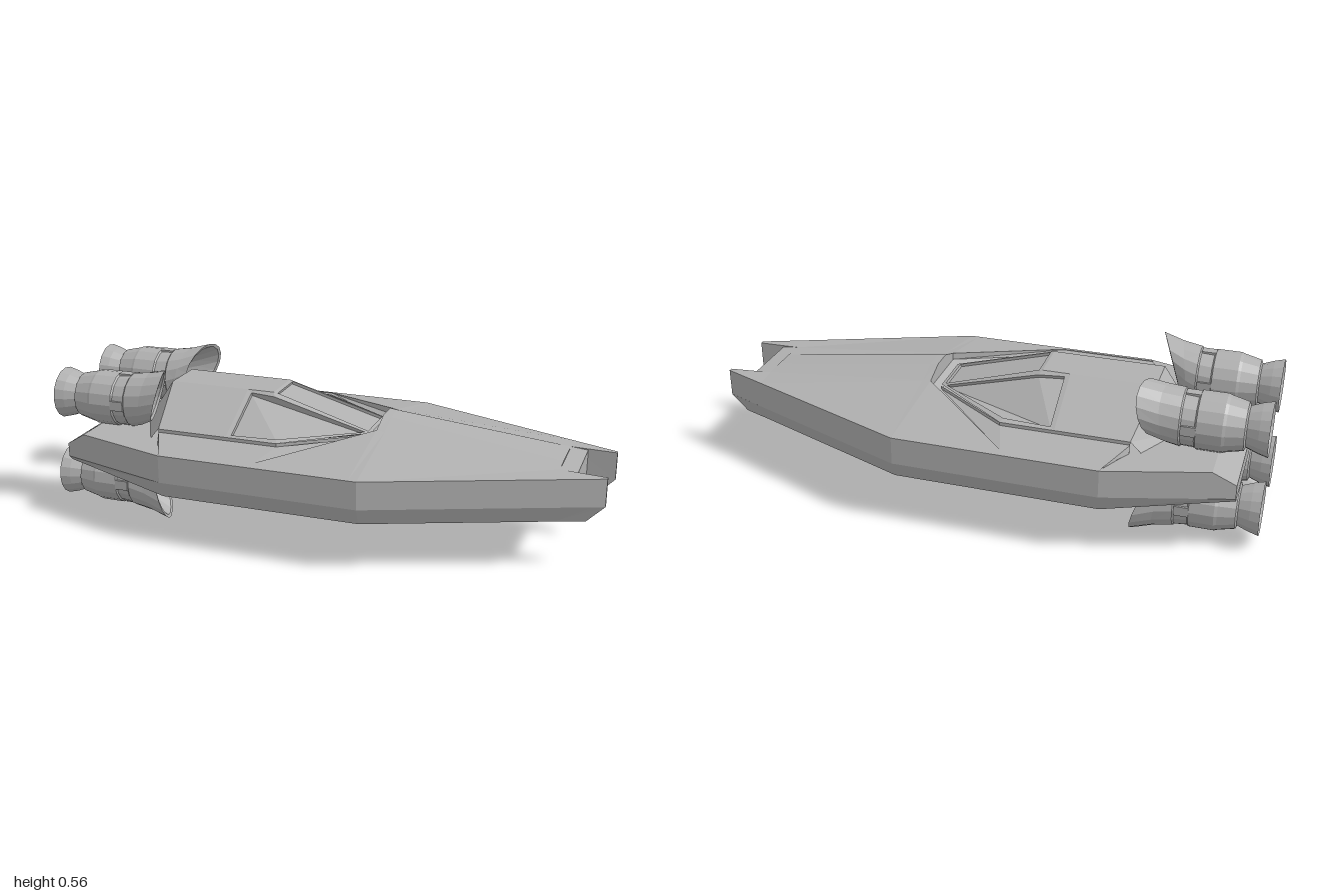
import * as THREE from 'three';

const hullGrey = new THREE.MeshStandardMaterial({ color: 0xb0b0b0, side: THREE.DoubleSide });
hullGrey.name = 'hull grey';

// Flat-faced mesh from a list of polygons (each a list of [x, y, z])
function facesMesh(name, polygons) {
  const pos = [];
  for (const p of polygons)
    for (let i = 1; i < p.length - 1; i++) pos.push(...p[0], ...p[i], ...p[i + 1]);
  const g = new THREE.BufferGeometry();
  g.setAttribute('position', new THREE.Float32BufferAttribute(pos, 3));
  g.computeVertexNormals();
  const m = new THREE.Mesh(g, hullGrey);
  m.name = name;
  return m;
}

// Skin closed cross-sections with quads
function loft(sections) {
  const out = [];
  for (let s = 0; s < sections.length - 1; s++) {
    const a = sections[s], b = sections[s + 1], n = a.length;
    for (let i = 0; i < n; i++) {
      const j = (i + 1) % n;
      out.push([a[i], a[j], b[j], b[i]]);
    }
  }
  return out;
}

// Add the port/starboard twin of every polygon
const twin = polys => polys.concat(polys.map(p => p.map(([x, y, z]) => [x, y, -z]).reverse()));

// Framed window: rim, short walls and a sunken pane; inward is the sinking direction
function pane(pts, rim, inward) {
  const c = [0, 1, 2].map(k => pts.reduce((s, p) => s + p[k], 0) / pts.length);
  const inner = pts.map(p => {
    const d = Math.hypot(p[0] - c[0], p[1] - c[1], p[2] - c[2]);
    return p.map((v, k) => v + (c[k] - v) * rim / d);
  });
  const sunk = inner.map(p => p.map((v, k) => v + inward[k]));
  return [...loft([pts, inner, sunk]), sunk];
}

function buildHull() {
  // x, outer z, bottom z, bottom y, edge y, mid z, mid y, ridge z, ridge y
  const stations = [
    [-0.92, 0.31, 0.29, 0.22, 0.29, 0.2, 0.29, 0.075, 0.29],
    [-0.84, 0.333, 0.31, 0.212, 0.34, 0.2, 0.34, 0.075, 0.335],
    [-0.49, 0.435, 0.41, 0.18, 0.34, 0.12, 0.34, 0.04, 0.34],
    [0.2, 0.435, 0.41, 0.18, 0.34, 0.12, 0.34, 0.04, 0.34],
    [0.2, 0.435, 0.41, 0.18, 0.34, 0.12, 0.41, 0.04, 0.44],
    [0.23, 0.435, 0.41, 0.18, 0.34, 0.12, 0.407, 0.04, 0.436],
    [0.84, 0.197, 0.172, 0.18, 0.34, 0.115, 0.346, 0.04, 0.349],
  ];
  const sections = stations.map(([x, zo, zb, yb, ye, zm, ym, zr, yr]) => {
    const half = [[x, yb, zb], [x, 0.24, zo], [x, ye, zo], [x, ym, zm], [x, yr, zr]];
    return [...half, ...half.map(([a, b, c]) => [a, b, -c]).reverse()];
  });
  return facesMesh('hull', [...loft(sections), sections[0]]);
}

function buildDeckEdge() {
  // Sloping deck beside the cabin well, with the well's wall
  const rim = [[0.2, 0.41, 0.12], [-0.15, 0.346, 0.41], [-0.5, 0.346, 0.41], [-0.56, 0.342, 0.29]];
  const edge = [[0.2, 0.34, 0.435], [-0.15, 0.34, 0.435], [-0.49, 0.34, 0.435]];
  const polys = [[edge[0], rim[0], rim[1], edge[1]], [edge[1], rim[1], rim[2], edge[2]]];
  for (let i = 0; i < 3; i++) {
    const a = rim[i], b = rim[i + 1];
    polys.push([a, b, [b[0], 0.335, b[2]], [a[0], 0.335, a[2]]]);
  }
  return facesMesh('deckEdge', twin(polys));
}

function buildNose() {
  // Blunt centre with an undercut
  const g = new THREE.Group();
  g.name = 'nose';
  const side = z => [[0.84, 0.18, z], [0.9, 0.24, z], [0.9, 0.34, z], [0.84, 0.346, z]];
  g.add(facesMesh('noseCentre', loft([side(-0.115), side(0.115)])));
  // Two pointed prongs
  const outer = [[0.84, 0.18, 0.172], [0.94, 0.18, 0.135], [1, 0.24, 0.135], [1, 0.34, 0.135], [0.84, 0.34, 0.197]];
  const low = [[0.84, 0.24, 0.197], [0.96, 0.24, 0.15]];
  const inner = [[0.84, 0.18, 0.115], [0.94, 0.18, 0.118], [1, 0.24, 0.121], [1, 0.34, 0.121], [0.84, 0.346, 0.115]];
  const polys = [
    [low[0], low[1], outer[2], outer[3], outer[4]], [outer[0], outer[1], outer[2], low[1], low[0]], inner,
  ];
  for (let i = 0; i < 4; i++) polys.push([outer[i], outer[i + 1], inner[i + 1], inner[i]]);
  g.add(facesMesh('prongs', twin(polys)));
  return g;
}

function buildUpperCabin() {
  const g = new THREE.Group();
  g.name = 'upperCabin';
  const roof = [[-0.6, 0.493, 0.08], [-0.3, 0.493, 0.08], [-0.2, 0.493, 0.08], [0.17, 0.385, 0.088]];
  const sill = [[-0.56, 0.38, 0.288], [-0.3, 0.38, 0.288], [-0.11, 0.38, 0.288], [0.17, 0.38, 0.092]];
  const foot = [[-0.56, 0.342, 0.3], [-0.5, 0.344, 0.41], [-0.15, 0.344, 0.41], [0.2, 0.385, 0.12]];
  const base = sill.map(([x, y, z]) => [x, y - 0.012, z]);
  const flip = p => [p[0], p[1], -p[2]];
  // Roof, rear slope, sides and shoulder
  g.add(facesMesh('cabinBody', [
    [roof[0], roof[2], flip(roof[2]), flip(roof[0])],
    [roof[0], [-0.71, 0.335, 0.075], [-0.71, 0.335, -0.075], flip(roof[0])],
    [base[3], foot[3], flip(foot[3]), flip(base[3])],
    ...twin([
      [roof[0], roof[1], sill[1], sill[0]],
      [roof[0], sill[0], [-0.6, 0.335, 0.28], [-0.71, 0.335, 0.075]],
      [sill[0], sill[2], base[2], base[0]], [sill[2], sill[3], base[3], base[2]],
      [base[0], foot[0], foot[1]], [base[0], foot[1], foot[2], base[2]], [base[2], foot[2], foot[3], base[3]],
    ]),
  ]));
  // Windscreen and side windows
  g.add(facesMesh('windscreen', pane([roof[2], roof[3], flip(roof[3]), flip(roof[2])], 0.015, [-0.003, -0.01, 0])));
  g.add(facesMesh('sideWindows', twin(pane([roof[1], roof[2], roof[3], sill[2], sill[1]], 0.022, [0, -0.012, -0.005]))));
  return g;
}

function buildLowerCabin() {
  const g = new THREE.Group();
  g.name = 'lowerCabin';
  const keel = [[-0.6, 0.08, 0.08], [-0.2, 0.08, 0.08], [0.03, 0.08, 0.08], [0.17, 0.182, 0.09]];
  const bilge = [[-0.58, 0.1, 0.2], [-0.2, 0.1, 0.2], [-0.05, 0.1, 0.2]];
  const top = [[-0.58, 0.182, 0.28], [-0.2, 0.182, 0.28], [-0.1, 0.182, 0.28]];
  const flip = p => [p[0], p[1], -p[2]];
  const rear = [-0.7, 0.2, 0.08];
  g.add(facesMesh('lowerBody', [
    [keel[0], keel[2], flip(keel[2]), flip(keel[0])],
    [keel[0], rear, flip(rear), flip(keel[0])],
    ...twin([
      [keel[0], keel[1], bilge[1], bilge[0]], [keel[1], keel[2], bilge[2], bilge[1]],
      [bilge[0], bilge[1], top[1], top[0]], [keel[0], bilge[0], top[0], rear],
    ]),
  ]));
  // Sunken belly windows
  g.add(facesMesh('frontBellyWindow', pane([keel[2], keel[3], flip(keel[3]), flip(keel[2])], 0.018, [-0.008, 0.01, 0])));
  g.add(facesMesh('sideBellyWindows', twin([
    ...pane([keel[2], keel[3], top[2], bilge[2]], 0.02, [-0.008, 0.01, -0.008]),
    ...pane([bilge[1], bilge[2], top[2], top[1]], 0.015, [0, 0.008, -0.01]),
  ])));
  return g;
}

function buildEngine() {
  const g = new THREE.Group();
  const sides = 16;
  // x, radius, sideways drift, slant of the cut
  const ring = ([x, r, drift = 0, slant = 0]) => Array.from({ length: sides }, (_, i) => {
    const a = (i / sides) * Math.PI * 2, s = Math.sin(a), c = Math.cos(a);
    return [x + slant * (s + c) * 0.7, 0.435 + drift + r * s, 0.165 + drift * 0.7 + r * c];
  });
  // Thruster bell with its throat
  g.add(facesMesh('thrusterBell', loft([
    [-0.93, 0], [-0.94, 0.055], [-0.995, 0.086], [-1, 0.094], [-0.965, 0.085], [-0.925, 0.07],
  ].map(ring))));
  // Casing curving outward to a slanted, hollow intake
  g.add(facesMesh('engineCasing', loft([
    [-0.925, 0.07], [-0.92, 0.082], [-0.86, 0.096], [-0.85, 0.1], [-0.765, 0.1], [-0.76, 0.095],
    [-0.715, 0.095, 0.003], [-0.71, 0.1, 0.003], [-0.66, 0.098, 0.014, 0.02], [-0.605, 0.094, 0.035, 0.04],
    [-0.61, 0.083, 0.035, 0.04], [-0.67, 0.066, 0.018, 0.02], [-0.74, 0.045], [-0.74, 0],
  ].map(ring))));
  // Small vent blocks around the waist
  for (const a of [0, Math.PI / 2, Math.PI, -Math.PI / 2]) {
    const vent = new THREE.Mesh(new THREE.BoxGeometry(0.05, 0.012, 0.035), hullGrey);
    vent.name = 'vent';
    vent.position.set(-0.74, 0.436 + 0.093 * Math.sin(a), 0.166 + 0.093 * Math.cos(a));
    vent.rotation.x = Math.PI / 2 - a;
    g.add(vent);
  }
  return g;
}

export function createModel() {
  const model = new THREE.Group();
  model.name = 'spaceship';
  model.add(buildHull(), buildDeckEdge(), buildNose(), buildUpperCabin(), buildLowerCabin());
  // Four engines mirrored about the centre line and mid height
  for (const sy of [1, -1]) for (const sz of [1, -1]) {
    const e = buildEngine();
    e.name = (sy > 0 ? 'upper' : 'lower') + (sz > 0 ? 'Left' : 'Right') + 'Engine';
    e.scale.set(1, sy, sz);
    e.position.y = sy > 0 ? 0 : 0.565;
    model.add(e);
  }
  return model;
}
